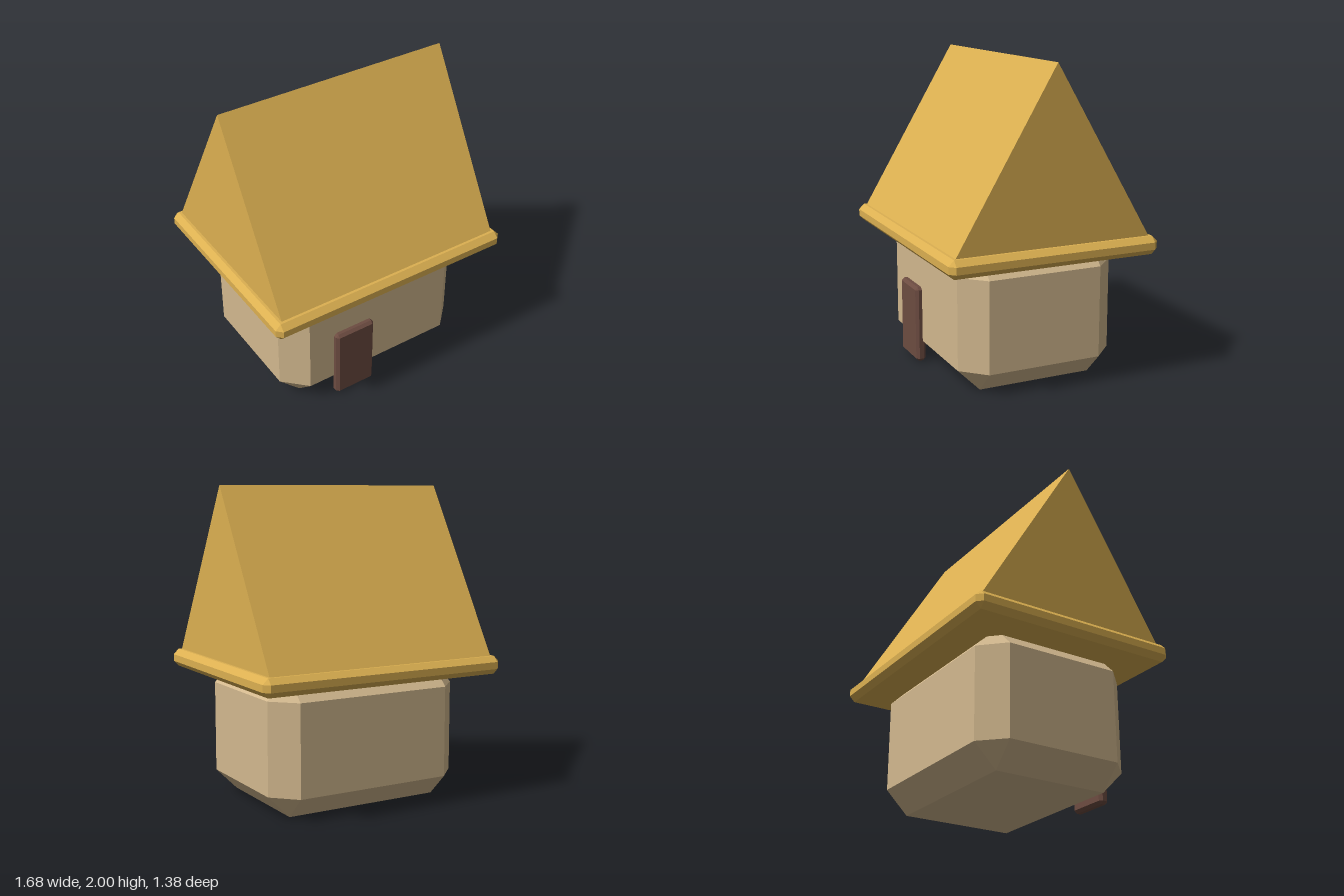
import * as THREE from 'three';
import { ConvexGeometry } from 'three/addons/geometries/ConvexGeometry.js';

// Box with every edge chamfered by c; spans given as [min, max]
function chamferBox([x0, x1], [y0, y1], [z0, z1], c) {
  const half = [(x1 - x0) / 2, (y1 - y0) / 2, (z1 - z0) / 2];
  const points = [];
  for (const sx of [-1, 1]) for (const sy of [-1, 1]) for (const sz of [-1, 1]) {
    // Each corner becomes a small triangle, one point per adjoining face
    for (let axis = 0; axis < 3; axis++) {
      const [x, y, z] = half.map((h, i) => (i === axis ? h : h - c));
      points.push(new THREE.Vector3(sx * x, sy * y, sz * z));
    }
  }
  return new ConvexGeometry(points).translate((x0 + x1) / 2, (y0 + y1) / 2, (z0 + z1) / 2);
}

function makeMaterial(name, color) {
  const material = new THREE.MeshStandardMaterial({ color });
  material.name = name;
  return material;
}

export function createModel() {
  const house = new THREE.Group();
  house.name = 'house';
  const plaster = makeMaterial('tanPlaster', 0xd2b88e);
  const thatch = makeMaterial('goldenThatch', 0xdcb051);
  const wood = makeMaterial('darkWood', 0x6d4c41);

  const add = (name, geometry, material) => {
    const mesh = new THREE.Mesh(geometry, material);
    mesh.name = name;
    house.add(mesh);
  };

  // Walls, with wide chamfers all round
  add('walls', chamferBox([-0.67, 0.67], [0, 0.875], [-0.52, 0.52], 0.145), plaster);

  // Overhanging slab under the roof
  add('eaves', chamferBox([-0.84, 0.84], [0.81, 0.925], [-0.69, 0.69], 0.035), thatch);

  // Gabled roof, ridge running along x
  const gable = new THREE.Shape([
    new THREE.Vector2(-0.638, 0.925),
    new THREE.Vector2(0.638, 0.925),
    new THREE.Vector2(0, 2),
  ]);
  const roof = new THREE.ExtrudeGeometry(gable, { depth: 1.576, bevelEnabled: false });
  add('roof', roof.translate(0, 0, -0.788).rotateY(Math.PI / 2), thatch);

  // Door, set off-centre in the front wall
  add('door', chamferBox([-0.345, -0.06], [0.005, 0.508], [0.495, 0.56], 0.018), wood);

  return house;
}
